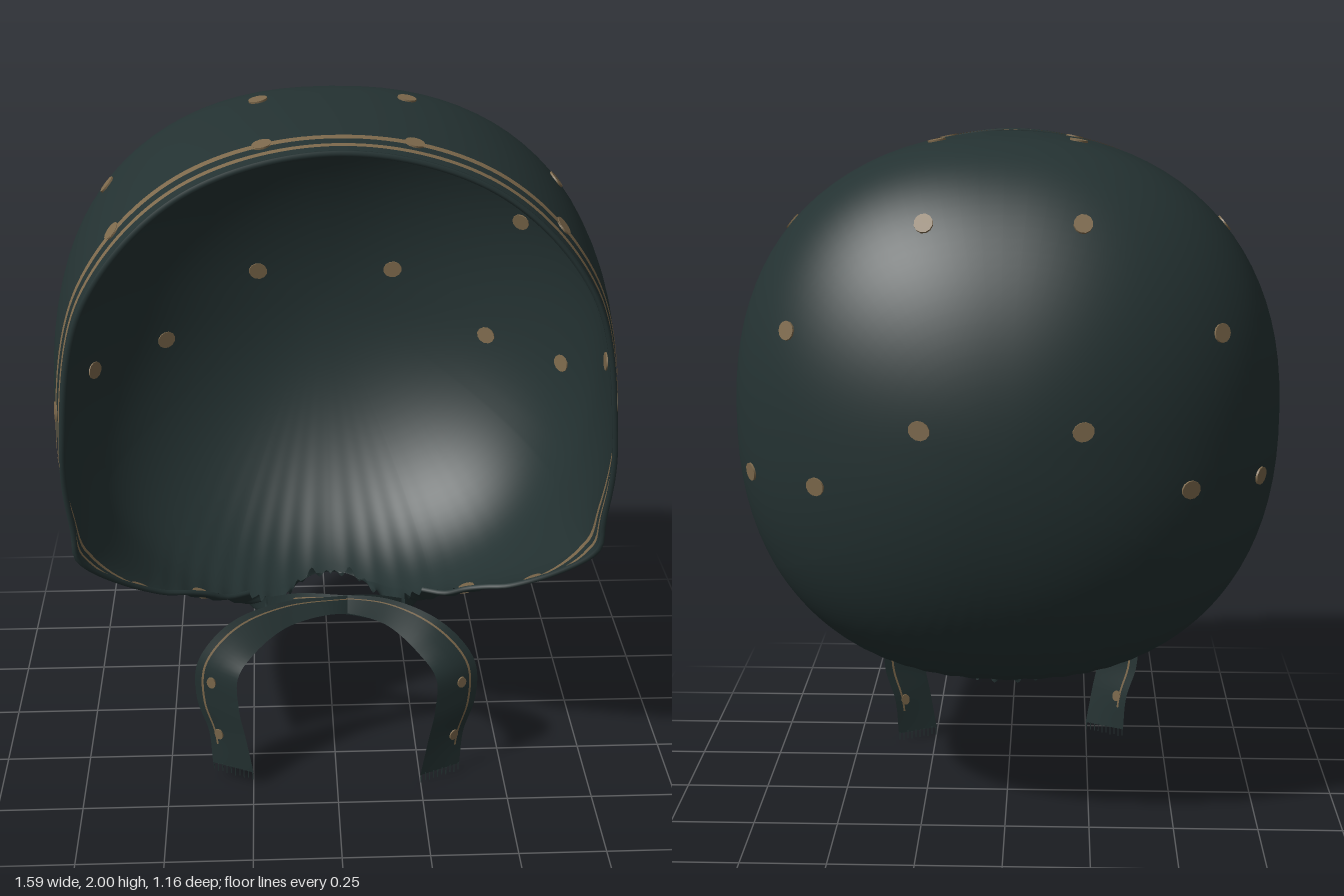
import * as THREE from 'three';
import { mergeVertices } from 'three/addons/utils/BufferGeometryUtils.js';

const V = (x, y, z) => new THREE.Vector3(x, y, z);
const RAD = Math.PI / 180;

// Edge of the opening for one half: [angle from the top, x, y, z]
const EDGE = [
  [-30, -0.39, 1.88, 0.55], [0, 0, 1.98, 0.54], [30, 0.39, 1.88, 0.55], [60, 0.65, 1.6, 0.572],
  [90, 0.725, 1.2, 0.56], [110, 0.715, 0.95, 0.54], [122, 0.695, 0.84, 0.53],
  [140, 0.54, 0.7, 0.43], [152, 0.36, 0.63, 0.35], [160, 0.23, 0.58, 0.28],
  [165, 0.2, 0.5, 0.22], [170, 0.17, 0.43, 0.13], [175, 0.1, 0.42, -0.08],
  [180, 0, 0.42, -0.125], [185, -0.1, 0.42, -0.08],
];
const edgeCurve = new THREE.CatmullRomCurve3(EDGE.map(e => V(e[1], e[2], e[3])), false, 'catmullrom', 0.5);

function edgeAt(s) {
  let i = 1;
  while (i < EDGE.length - 3 && s > EDGE[i + 1][0]) i++;
  const f = (s - EDGE[i][0]) / (EDGE[i + 1][0] - EDGE[i][0]);
  return edgeCurve.getPoint((i + f) / (EDGE.length - 1));
}

// Where the round back meets the front part
const SPLIT = 0.6;
function backPoint(s, a) {
  const p = (n) => Math.sign(n) * Math.pow(Math.abs(n), 0.87);
  const k = Math.sin(a);
  return V(0.79 * p(Math.sin(s * RAD)) * k, 1.2 + 0.8 * p(Math.cos(s * RAD)) * k, -0.575 * Math.cos(a));
}
const backEnd = (s) => (90 - 14 * Math.max(0, (s - 165) / 15)) * RAD;

// Cap surface: t runs round the opening in degrees, v from the back (0) to the edge (1)
function cap(t, v) {
  const s = Math.abs(t), end = backEnd(s);
  let p;
  if (v <= SPLIT) p = backPoint(s, end * v / SPLIT);
  else {
    const u = (v - SPLIT) / (1 - SPLIT), m = backPoint(s, end), e = edgeAt(s);
    const c = V(m.x, m.y, (m.z + e.z) / 2);
    p = m.multiplyScalar((1 - u) ** 2).addScaledVector(c, 2 * u * (1 - u)).addScaledVector(e, u * u);
  }
  // Gathers towards the neck
  const w = THREE.MathUtils.smoothstep(s, 135, 168);
  const g = w * (0.009 * v ** 3 * Math.sin(s * 1.25) + 0.016 * v ** 8 * Math.sin(s * 2.6) * (s > 160 ? 1 : 0.5));
  p.y += g;
  p.x *= 1 - g;
  if (t < 0) p.x = -p.x;
  return p;
}

function capNormal(t, v) {
  const v0 = Math.max(v - 0.01, 0.001), v1 = Math.min(v + 0.01, 1);
  const dv = cap(t, v1).sub(cap(t, v0));
  return dv.cross(cap(t + 0.5, v).sub(cap(t - 0.5, v))).normalize();
}

// Surface from a rule over two lists of parameters
function sheet(us, vs, fn) {
  const pos = [], idx = [], n = vs.length;
  us.forEach(u => vs.forEach(v => pos.push(...fn(u, v).toArray())));
  for (let i = 0; i < us.length - 1; i++) for (let j = 0; j < n - 1; j++) {
    const a = i * n + j, b = a + n;
    idx.push(a, a + 1, b, b, a + 1, b + 1);
  }
  let g = new THREE.BufferGeometry();
  g.setAttribute('position', new THREE.Float32BufferAttribute(pos, 3));
  g.setIndex(idx);
  g = mergeVertices(g, 1e-5);
  g.computeVertexNormals();
  return g;
}
const range = (a, b, n) => Array.from({ length: n + 1 }, (_, i) => a + (b - a) * i / n);

export function createModel() {
  const group = new THREE.Group();
  const fabric = new THREE.MeshStandardMaterial({ color: 0x243232, side: THREE.DoubleSide });
  fabric.name = 'darkGreenFabric';
  const gold = new THREE.MeshStandardMaterial({ color: 0x7d694c, side: THREE.DoubleSide });
  gold.name = 'dullGold';
  const add = (geo, mat, name) => {
    const m = new THREE.Mesh(geo, mat);
    m.name = name;
    group.add(m);
    return m;
  };

  // Cap, with finer steps where the cloth is gathered
  const half = [...range(0, 120, 30), ...range(120, 160, 40).slice(1), ...range(160, 180, 60).slice(1)];
  const all = [...half.slice(1).reverse().map(t => -t), ...half];
  add(sheet(all, range(0, 1, 50), cap), fabric, 'cap');

  // Hem around the face opening
  const hemPath = new THREE.CatmullRomCurve3(range(-158, 158, 90).map(t => cap(t, 1)));
  add(new THREE.TubeGeometry(hemPath, 180, 0.008, 6), fabric, 'brimHem');

  // Two stripes beside the brim, on both faces of the cloth
  const stripePoint = (t, off, lift) => {
    const s = Math.abs(t), e = edgeAt(s), mz = -0.575 * Math.cos(backEnd(s));
    const z = (s < 122 ? e.z : 0.53) - off;
    const v = SPLIT + (1 - SPLIT) * Math.min(1, (z - mz) / (e.z - mz));
    return cap(t, v).addScaledVector(capNormal(t, v), lift);
  };
  for (const [a, b] of [[0.042, 0.063], [0.098, 0.125]])
    for (const lift of [0.004, -0.004])
      add(sheet(range(-144, 144, 144), [b, a], (t, o) => stripePoint(t, o, lift)), gold, 'brimStripe');

  // Dots: thin discs showing on both faces
  const dot = (p, n, up, w, h, name) => {
    const m = add(new THREE.CylinderGeometry(1, 1, 0.009, 12), gold, name);
    const side = V().crossVectors(up, n).normalize();
    m.quaternion.setFromRotationMatrix(new THREE.Matrix4().makeBasis(side, n, V().crossVectors(side, n)));
    m.scale.set(w, 1, h);
    m.position.copy(p);
  };
  const spots = [
    [0.21, 1.79, -0.36], [0.57, 1.5, -0.33], [0.21, 1.28, -0.55], [0.5, 1.1, -0.42], [0.72, 1.08, -0.24],
    [0.2, 2, 0.04], [0.6, 1.74, 0.04], [0.79, 1.23, 0.09],
    [0.19, 1.98, 0.42], [0.57, 1.75, 0.43], [0.76, 1.25, 0.43],
    [0.55, 0.69, 0.38, 2], [0.4, 0.5, 0.13, 1.7],
  ];
  for (const [x, y, z, long = 1] of spots) {
    const target = V(x, y, z);
    let best = 9, bt = 0, bv = 0;
    for (const t of range(0, 172, 172)) for (const v of range(0.02, 0.98, 96)) {
      const d = cap(t, v).distanceToSquared(target);
      if (d < best) { best = d; bt = t; bv = v; }
    }
    for (const sign of [1, -1]) {
      const t = bt * sign;
      const along = cap(t, bv + 0.01).sub(cap(t, bv - 0.01)).normalize();
      dot(cap(t, bv), capNormal(t, bv), along, 0.026, 0.03 * long, 'capDot');
    }
  }

  // Ties crossing under the chin and hanging down
  const path = [[0.2, 0.47, 0.2], [0.1, 0.525, 0.26], [0, 0.555, 0.3], [-0.15, 0.545, 0.33], [-0.27, 0.49, 0.36],
    [-0.345, 0.4, 0.385], [-0.35, 0.28, 0.385], [-0.325, 0.17, 0.385], [-0.31, 0.05, 0.385]];
  const widths = [[0, -0.045, 0], [0, -0.035, 0.01], [0, -0.024, 0.01], [0.01, -0.035, 0.01], [0.035, -0.042, 0.015],
    [0.058, -0.015, 0.025], [0.062, 0, 0.03], [0.055, 0.005, 0.03], [0.061, 0, 0.028]];
  for (const sign of [1, -1]) {
    const back = sign < 0;
    const place = ([x, y, z], i) => V(x * sign, y - (back ? 0.024 * i / 8 : 0), z - (back && i < 4 ? 0.02 : 0));
    const mid = new THREE.CatmullRomCurve3(path.map(place));
    const wide = new THREE.CatmullRomCurve3(widths.map(([x, y, z]) => V(x * sign, y, z)));
    const normal = u => V().crossVectors(mid.getTangent(u), wide.getPoint(u)).normalize();
    const tie = (u, w, lift = 0) =>
      mid.getPoint(u).addScaledVector(wide.getPoint(u), w).addScaledVector(normal(u), lift);
    const name = back ? 'leftTie' : 'rightTie';
    add(sheet(range(0, 1, 60), range(-1, 1, 4), (u, w) => tie(u, w)), fabric, name);

    for (const lift of [0.003, -0.003])
      add(sheet(range(0.1, 0.92, 60), [-0.66, -0.56], (u, w) => tie(u, w, lift)), gold, name + 'Stripe');
    for (const [u, w] of [[0.68, -0.2], [0.88, -0.45]])
      dot(tie(u, w), normal(u), mid.getTangent(u), 0.014, 0.018, name + 'Dot');

    // Frayed end
    range(-0.95, 0.95, 9).forEach((w, i) => {
      const thread = add(new THREE.BoxGeometry(0.003, 0.026, 0.003), fabric, name + 'Fringe');
      thread.position.copy(tie(1, w)).y -= 0.009 + 0.004 * (i % 2);
    });
  }
  return group;
}
